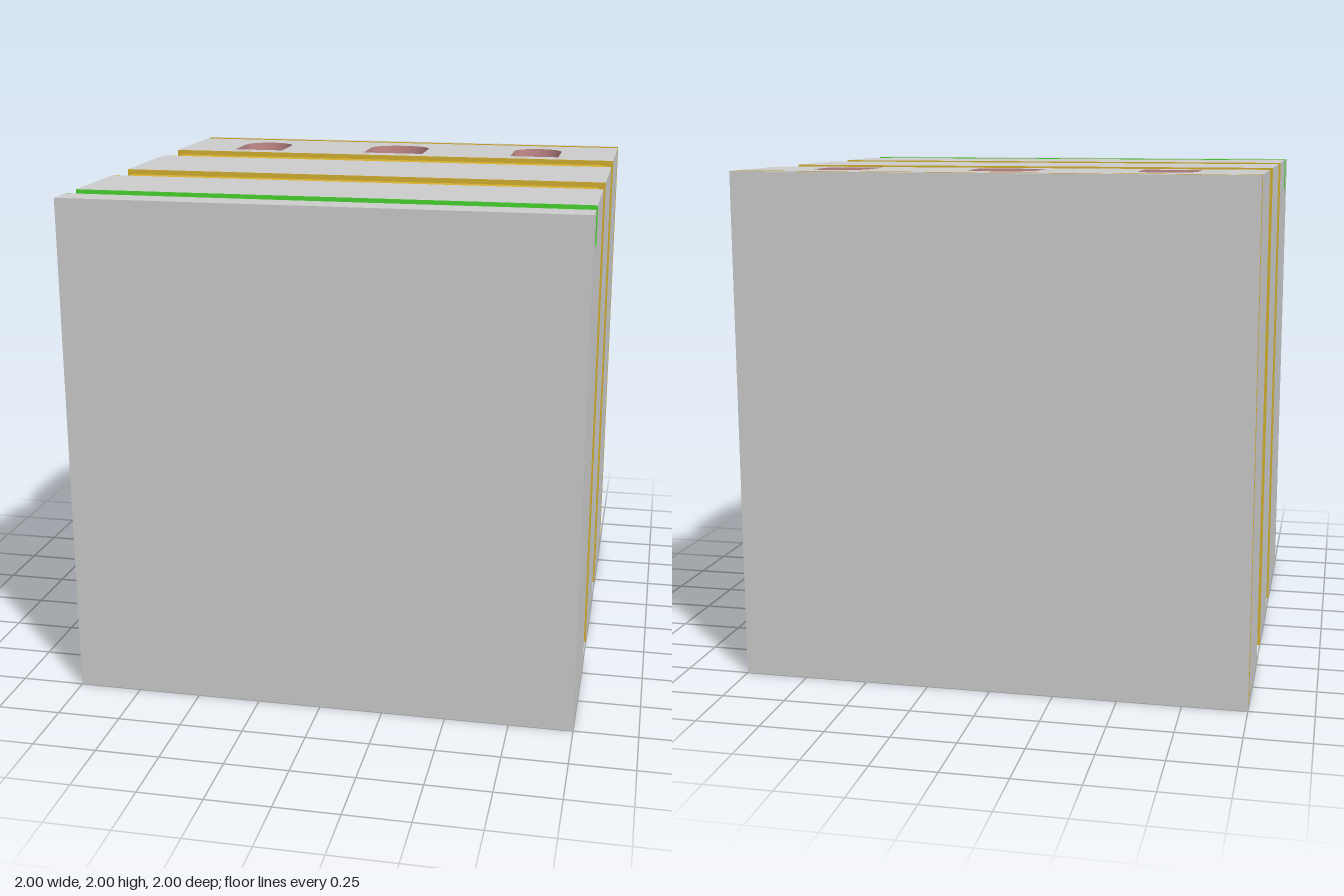
import * as THREE from 'three';

const mat = (color, side = THREE.FrontSide) =>
  new THREE.MeshStandardMaterial({ color, side, flatShading: true });

export function createModel() {
  const model = new THREE.Group();
  const grey = mat(0xcccccc), gold = mat(0xd4b030), green = mat(0x48d430);
  const red = mat(0xc48a8a, THREE.DoubleSide);

  const add = (name, geometry, material) => {
    const mesh = new THREE.Mesh(geometry, material);
    mesh.name = name;
    model.add(mesh);
    return mesh;
  };
  // Box given by its half width and its y and z limits
  const block = (name, hx, y0, y1, z0, z1, material) =>
    add(name, new THREE.BoxGeometry(2 * hx, y1 - y0, z1 - z0), material)
      .position.set(0, (y0 + y1) / 2, (z0 + z1) / 2);

  const polygon = pts => new THREE.Shape(pts.map(p => new THREE.Vector2(...p)));
  const extrude = (shape, depth) =>
    new THREE.ExtrudeGeometry(shape, { depth, bevelEnabled: false });

  // Front slab: side profile (z, y) with a notch in its top, extruded across x
  const profile = polygon([[0.385, 0], [1, 0], [1, 2], [0.885, 2], [0.885, 1.86],
    [0.78, 1.86], [0.78, 2], [0.385, 2]].map(([z, y]) => [-z, y]));
  add('frontSlab', extrude(profile, 2).rotateY(Math.PI / 2).translate(-1, 0, 0), grey);

  // Green channel: raised floor with sloping ends, and lined walls
  const floor = polygon([[-1, 1.86], [1, 1.86], [0.93, 1.96], [-0.93, 1.96]]);
  add('channelFloor', extrude(floor, 0.105).translate(0, 0, 0.78), green);
  block('channelBackWall', 1, 1.86, 2, 0.78, 0.783, green);
  block('channelFrontWall', 1, 1.86, 2, 0.882, 0.885, green);

  // Plain slabs
  block('middleSlab', 1, 0, 2, -0.26, 0.2, grey);
  block('backPlate', 1, 0, 2, -1, -0.975, grey);

  // Gold grooves running all round: recessed core between two thin walls
  const grooves = [
    [0.2, 0.385, 0.975, 0.04, 1.98],
    [-0.47, -0.26, 0.975, 0.04, 1.98],
    [-0.975, -0.935, 0.985, 0.03, 1.99],
  ];
  for (const [z0, z1, hx, y0, y1] of grooves) {
    block('grooveCore', hx, y0, y1, z0, z1, gold);
    block('grooveWall', 1, 0, 2, z0, z0 + 0.003, gold);
    block('grooveWall', 1, 0, 2, z1 - 0.003, z1, gold);
  }

  // Arched pocket outline, drawn with y standing for -z
  const arch = (x0, x1, spring, inset = 0) => {
    const rx = (x1 - x0) / 2 - inset, cx = (x0 + x1) / 2, base = 0.545 + inset;
    const s = new THREE.Shape();
    s.moveTo(cx - rx, base);
    s.lineTo(cx + rx, base);
    s.lineTo(cx + rx, spring);
    s.absellipse(cx, spring, rx, 0.83 - inset - spring, 0, Math.PI, false);
    s.closePath();
    return s;
  };
  const pockets = [[-0.747, -0.522, 0.73], [-0.137, 0.137, 0.735], [0.536, 0.754, 0.735]];
  const pocketY = 1.92;

  // Rear slab: solid base and a top layer pierced by the pockets
  block('rearSlabBase', 1, 0, pocketY, -0.935, -0.47, grey);
  const layer = polygon([[-1, 0.47], [1, 0.47], [1, 0.935], [-1, 0.935]]);
  layer.holes = pockets.map(p => arch(...p));
  add('rearSlabTop', extrude(layer, 2 - pocketY).rotateX(-Math.PI / 2)
    .translate(0, pocketY, 0), grey);

  // Red pocket linings
  for (const p of pockets) {
    const shape = arch(...p, 0.002);
    add('pocketFloor', new THREE.ShapeGeometry(shape).rotateX(-Math.PI / 2)
      .translate(0, pocketY + 0.002, 0), red);
    const pts = shape.getPoints(), pos = [], index = [];
    pts.forEach(({ x, y }, i) => {
      pos.push(x, pocketY + 0.002, -y, x, 2, -y);
      const a = 2 * i, b = 2 * ((i + 1) % pts.length);
      index.push(a, a + 1, b, b, a + 1, b + 1);
    });
    const wall = new THREE.BufferGeometry();
    wall.setAttribute('position', new THREE.Float32BufferAttribute(pos, 3));
    wall.setIndex(index);
    wall.computeVertexNormals();
    add('pocketWall', wall, red);
  }

  return model;
}
